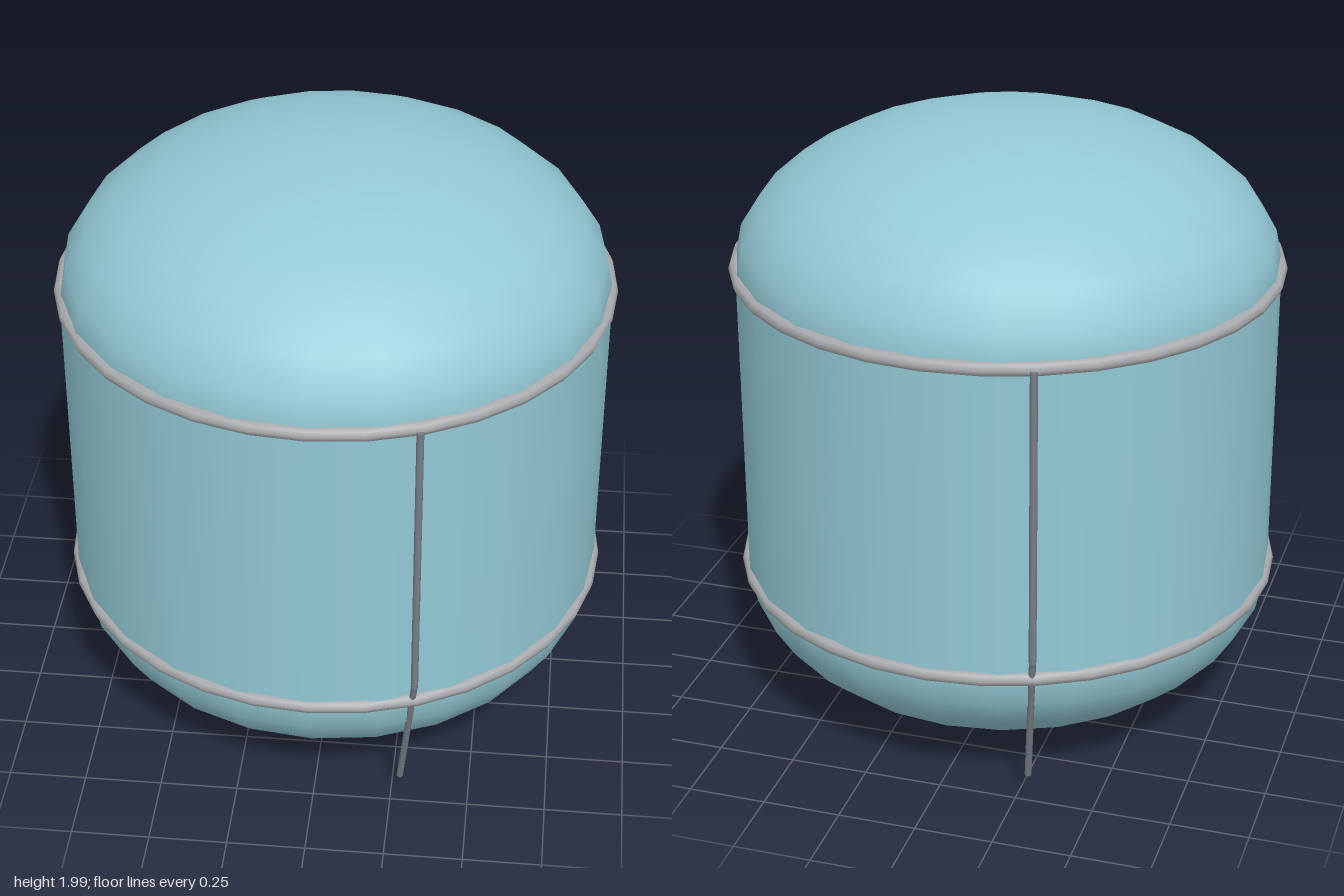
import * as THREE from 'three';

const R = 0.87, LOW = 0.488, HIGH = 1.523, DOME = 0.479;

function material(name, color) {
  const m = new THREE.MeshStandardMaterial({ color });
  m.name = name;
  return m;
}

export function createModel() {
  const teal = material('teal shell', 0x93c9d5);
  const grey = material('light grey metal', 0xa9abae);
  const dark = material('dark grey metal', 0x787f88);
  const model = new THREE.Group();
  model.name = 'tank';

  const add = (name, geometry, mat, parent = model) => {
    const mesh = new THREE.Mesh(geometry, mat);
    mesh.name = name;
    parent.add(mesh);
    return mesh;
  };

  // Straight wall of the tank
  add('wall', new THREE.CylinderGeometry(R, R, HIGH - LOW, 24, 1, true), teal)
    .position.y = (LOW + HIGH) / 2;

  // Flattened domes and the rings at their seams
  for (const [side, y, start] of [['top', HIGH, 0], ['bottom', LOW, Math.PI / 2]]) {
    const dome = new THREE.SphereGeometry(R, 24, 7, 0, Math.PI * 2, start, Math.PI / 2);
    dome.scale(1, DOME / R, 1);
    add(side + 'Dome', dome, teal).position.y = y;

    const ring = new THREE.TorusGeometry(0.863, 0.023, 8, 32);
    ring.rotateX(Math.PI / 2);
    add(side + 'Ring', ring, grey).position.y = y;
  }

  // Round rod between two points
  const rod = (name, a, b, radius, parent) => {
    const dir = b.clone().sub(a);
    const mesh = add(name, new THREE.CylinderGeometry(radius, radius, dir.length(), 8), dark, parent);
    mesh.position.copy(a).add(b).multiplyScalar(0.5);
    mesh.quaternion.setFromUnitVectors(new THREE.Vector3(0, 1, 0), dir.normalize());
  };

  // Two opposite legs: an upright along the wall and a foot slanting inward
  for (const [name, turn] of [['frontLeg', 0], ['backLeg', Math.PI]]) {
    const leg = new THREE.Group();
    leg.name = name;
    leg.rotation.y = turn + THREE.MathUtils.degToRad(21.6);
    const top = new THREE.Vector3(0, HIGH, 0.885);
    const knee = new THREE.Vector3(0, 0.56, 0.885);
    const foot = new THREE.Vector3(0, 0.073, 0.755);
    rod('upright', knee, top, 0.012, leg);
    rod('foot', foot, knee, 0.011, leg);
    model.add(leg);
  }

  return model;
}
